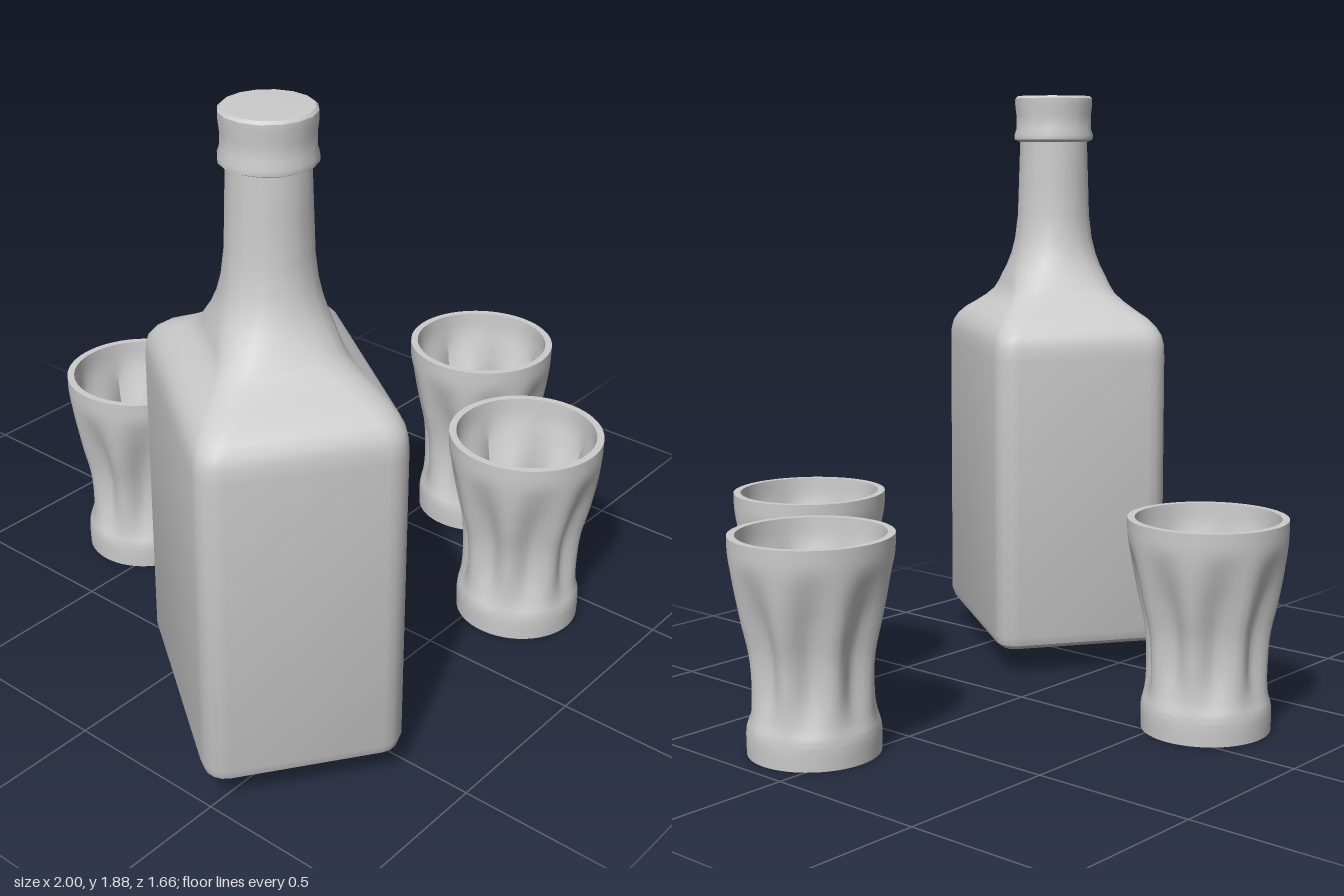
import * as THREE from 'three';
import { toCreasedNormals } from 'three/addons/utils/BufferGeometryUtils.js';

// Skin a list of equal-length rings (running counter to x->z, bottom to top)
function loft(rings, crease) {
  const n = rings[0].length;
  const pos = [];
  const tri = (a, b, c) => {
    if (a.distanceTo(b) < 1e-5 || b.distanceTo(c) < 1e-5 || c.distanceTo(a) < 1e-5) return;
    for (const p of [a, b, c]) pos.push(p.x, p.y, p.z);
  };
  for (let i = 0; i < rings.length - 1; i++) {
    for (let j = 0; j < n; j++) {
      const k = (j + 1) % n;
      const a = rings[i][j], b = rings[i][k], c = rings[i + 1][j], d = rings[i + 1][k];
      tri(a, c, b);
      tri(b, c, d);
    }
  }
  const geo = new THREE.BufferGeometry();
  geo.setAttribute('position', new THREE.Float32BufferAttribute(pos, 3));
  return toCreasedNormals(geo, crease);
}

// Rounded rectangle: corner centres scaled by s, corner radius r
function bottleRing([y, s, r]) {
  const A = 0.215, B = 0.33, steps = 4;
  const pts = [];
  [[1, 1], [-1, 1], [-1, -1], [1, -1]].forEach(([sx, sz], q) => {
    for (let i = 0; i <= steps; i++) {
      const t = (q + i / steps) * Math.PI / 2;
      pts.push(new THREE.Vector3(sx * A * s + r * Math.cos(t), y, sz * B * s + r * Math.sin(t)));
    }
  });
  return pts;
}

function bottleBody() {
  // height, corner spread, corner radius
  const sections = [
    [0.08, 0, 0], [0.08, 0.97, 0.02], [0.085, 1, 0.04], [0.1, 1, 0.06], [0.13, 1, 0.07],
    [1.03, 1, 0.07], [1.07, 1, 0.068], [1.1, 0.975, 0.067], [1.125, 0.92, 0.066],
    [1.15, 0.82, 0.068], [1.175, 0.67, 0.072], [1.2, 0.52, 0.08], [1.225, 0.39, 0.09],
    [1.25, 0.29, 0.104], [1.28, 0.2, 0.116], [1.31, 0.13, 0.121], [1.35, 0.07, 0.123],
    [1.4, 0.03, 0.122], [1.48, 0, 0.121], [1.6, 0, 0.117], [1.725, 0, 0.113],
  ];
  return loft(sections.map(bottleRing), 0.6);
}

function bottleCap() {
  const sections = [
    [1.72, 0, 0.11], [1.73, 0, 0.132], [1.745, 0, 0.133], [1.765, 0, 0.126], [1.81, 0, 0.126],
    [1.845, 0, 0.13], [1.865, 0, 0.13], [1.873, 0, 0.122], [1.876, 0, 0],
  ];
  return loft(sections.map(bottleRing), 0.6);
}

// Fluted tumbler wall, open at both ends
function glassGeometry() {
  const segs = 64;
  // height, ridge radius, flute depth
  const smooth = (list, count) => new THREE.CatmullRomCurve3(
    list.map(p => new THREE.Vector3(...p))).getPoints(count);
  const outer = smooth([
    [0, 0.192, 0], [0.05, 0.193, 0], [0.08, 0.191, 0], [0.12, 0.184, 0.008], [0.2, 0.183, 0.027],
    [0.3, 0.19, 0.034], [0.4, 0.212, 0.034], [0.5, 0.229, 0.016], [0.57, 0.236, 0.002], [0.633, 0.237, 0],
  ], 32);
  const inner = smooth([
    [0.633, 0.215, 0], [0.57, 0.213, 0.004], [0.5, 0.207, 0.02], [0.4, 0.19, 0.04], [0.3, 0.17, 0.042],
    [0.2, 0.165, 0.036], [0.12, 0.165, 0.012], [0.07, 0.168, 0], [0, 0.165, 0],
  ], 32);
  const ring = (p, power) => Array.from({ length: segs }, (_, j) => {
    const t = j / segs * Math.PI * 2;
    const r = p.y - p.z * Math.pow(Math.abs(Math.cos(4 * t)), power);
    return new THREE.Vector3(r * Math.cos(t), p.x, r * Math.sin(t));
  });
  const rings = [...outer.map(p => ring(p, 2)), ...inner.map(p => ring(p, 1))];
  rings.push(rings[0]);
  return loft(rings, 0.7);
}

export function createModel() {
  const model = new THREE.Group();
  model.name = 'bottleAndGlasses';
  const mat = new THREE.MeshStandardMaterial({ color: 0xcccccc });
  const add = (parent, geo, name) => {
    const mesh = new THREE.Mesh(geo, mat);
    mesh.name = name;
    parent.add(mesh);
    return mesh;
  };

  // Square-shouldered bottle, turned on the table
  const bottle = new THREE.Group();
  bottle.name = 'bottle';
  bottle.position.set(-0.565, 0, 0.348);
  bottle.rotation.y = -THREE.MathUtils.degToRad(35);
  add(bottle, bottleBody(), 'bottleBody');
  add(bottle, bottleCap(), 'bottleCap');
  model.add(bottle);

  // Three matching tumblers
  const glass = glassGeometry();
  [[0.34, 0.59], [0.76, 0.122], [-0.142, -0.6]].forEach(([x, z], i) => {
    add(model, glass, 'glass' + (i + 1)).position.set(x, 0, z);
  });
  return model;
}
